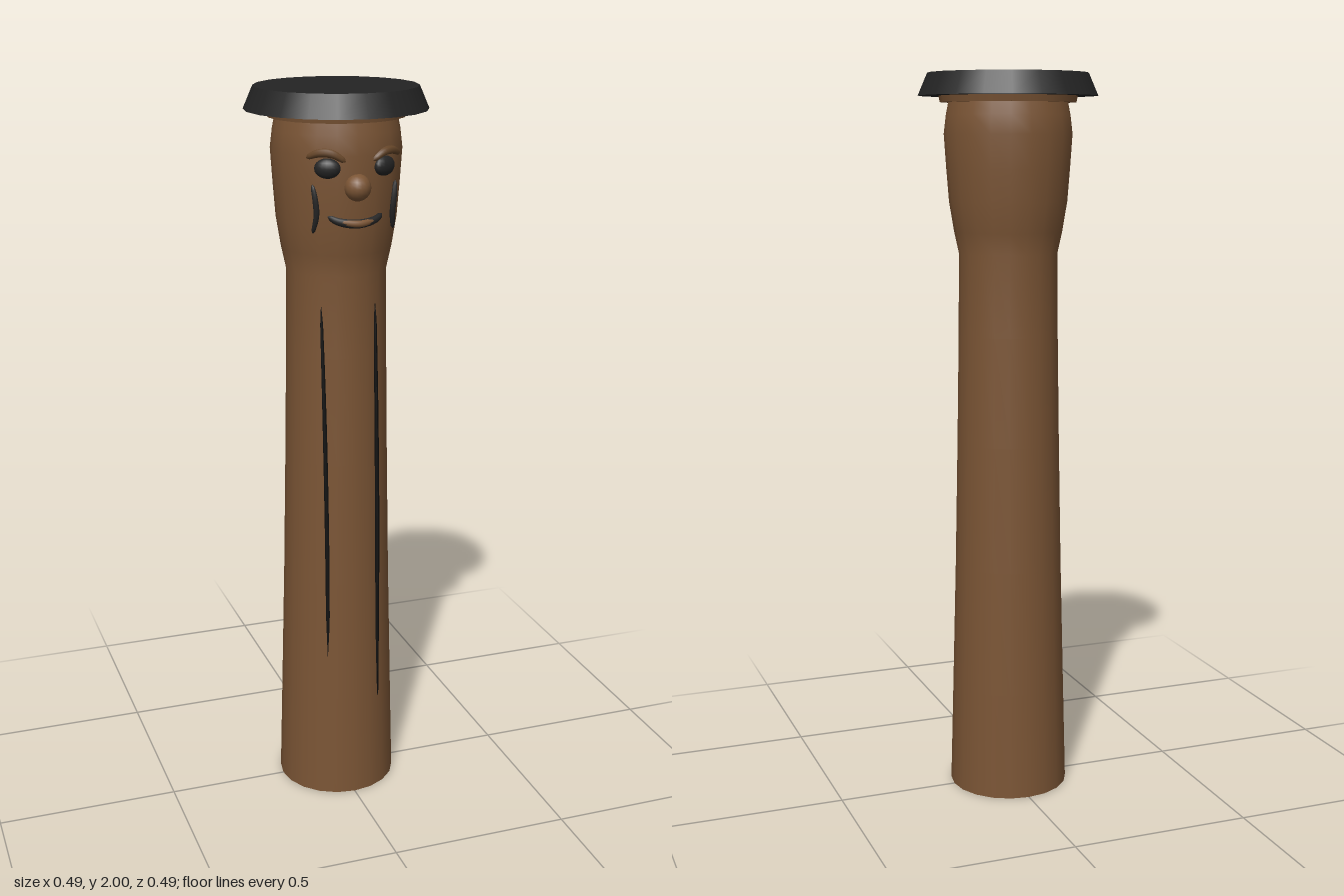
import * as THREE from 'three';

const mat = (name, color, side = THREE.FrontSide) => {
  const m = new THREE.MeshStandardMaterial({ color, side });
  m.name = name;
  return m;
};

export function createModel() {
  const wood = mat('brown wood', 0x7b5535, THREE.DoubleSide);
  const browWood = mat('dark brown wood', 0x664629);
  const charcoal = mat('charcoal', 0x242424);
  const black = mat('crack black', 0x111111);

  const model = new THREE.Group();
  model.name = 'carvedPost';
  const add = (name, geometry, material, x = 0, y = 0, z = 0) => {
    const mesh = new THREE.Mesh(geometry, material);
    mesh.name = name;
    mesh.position.set(x, y, z);
    model.add(mesh);
    return mesh;
  };
  const vec = (p) => new THREE.Vector3(...p);

  // Tube through points, swelling in the middle, closing to a point at each end
  const taperedTube = (points, radius, endScale = 0.1, segments = 16, sides = 8) => {
    const curve = new THREE.CatmullRomCurve3(points.map(vec));
    const geo = new THREE.TubeGeometry(curve, segments, radius, sides);
    const pos = geo.attributes.position;
    const p = new THREE.Vector3();
    for (let i = 0; i <= segments; i++) {
      const t = i / segments;
      const centre = curve.getPointAt(t);
      const end = i === 0 || i === segments;
      const s = end ? 0 : endScale + (1 - endScale) * Math.sqrt(Math.sin(Math.PI * t));
      for (let j = 0; j <= sides; j++) {
        const k = i * (sides + 1) + j;
        p.fromBufferAttribute(pos, k).sub(centre).multiplyScalar(s).add(centre);
        pos.setXYZ(k, p.x, p.y, p.z);
      }
    }
    geo.computeVertexNormals();
    return geo;
  };

  // Hollow post flaring at the foot and swelling into the head
  const profile = [
    [0.166, 0], [0.158, 0.3], [0.149, 0.65], [0.142, 1.0], [0.137, 1.3], [0.135, 1.52],
    [0.148, 1.58], [0.161, 1.66], [0.168, 1.75], [0.174, 1.84], [0.168, 1.89], [0.16, 1.93],
  ].map(([r, y]) => new THREE.Vector2(r, y));
  add('post', new THREE.LatheGeometry(profile, 20), wood);

  // Cap with a brown band beneath it
  add('capBand', new THREE.CylinderGeometry(0.188, 0.184, 0.02, 20), wood, 0, 1.933, 0);
  add('cap', new THREE.CylinderGeometry(0.217, 0.243, 0.06, 20), charcoal, 0, 1.97, 0);

  // Long cracks that sink into the wood lower down
  add('rightCrack', taperedTube([
    [-0.081, 1.45, 0.112], [-0.076, 1.2, 0.119], [-0.071, 0.9, 0.124],
    [-0.069, 0.6, 0.129], [-0.069, 0.12, 0.131],
  ], 0.0065, 0.4, 24, 6), black);
  add('leftCrack', taperedTube([
    [0.068, 1.45, 0.118], [0.074, 1.1, 0.122], [0.077, 0.8, 0.126],
    [0.078, 0.35, 0.1305], [0.079, 0.11, 0.131],
  ], 0.0065, 0.4, 24, 6), black);

  // Eyes, brows and cheek creases, mirrored
  for (const [side, s] of [['right', -1], ['left', 1]]) {
    const eye = add(side + 'Eye', new THREE.SphereGeometry(1, 16, 10), charcoal, s * 0.077, 1.81, 0.154);
    eye.scale.set(0.034, 0.026, 0.018);
    eye.rotation.y = s * 0.45;

    add(side + 'Brow', taperedTube([
      [s * 0.126, 1.836, 0.13], [s * 0.1, 1.849, 0.152],
      [s * 0.07, 1.848, 0.17], [s * 0.036, 1.828, 0.18],
    ], 0.011, 0.3), browWood);

    add(side + 'CheekCrease', taperedTube([
      [s * 0.113, 1.77, 0.139], [s * 0.108, 1.735, 0.147],
      [s * 0.104, 1.69, 0.146], [s * 0.11, 1.642, 0.133],
    ], 0.008, 0.4), charcoal);
  }

  // Nose
  add('nose', new THREE.SphereGeometry(0.035, 16, 12), wood, 0, 1.76, 0.167);

  // Smiling mouth with a lip across its middle
  add('mouth', taperedTube([
    [-0.075, 1.687, 0.146], [-0.05, 1.674, 0.16], [0, 1.667, 0.17],
    [0.05, 1.674, 0.16], [0.075, 1.687, 0.146],
  ], 0.012, 0.3), charcoal);
  add('lip', taperedTube([
    [-0.052, 1.674, 0.163], [0, 1.668, 0.177], [0.052, 1.674, 0.163],
  ], 0.009, 0.4), wood);

  return model;
}
